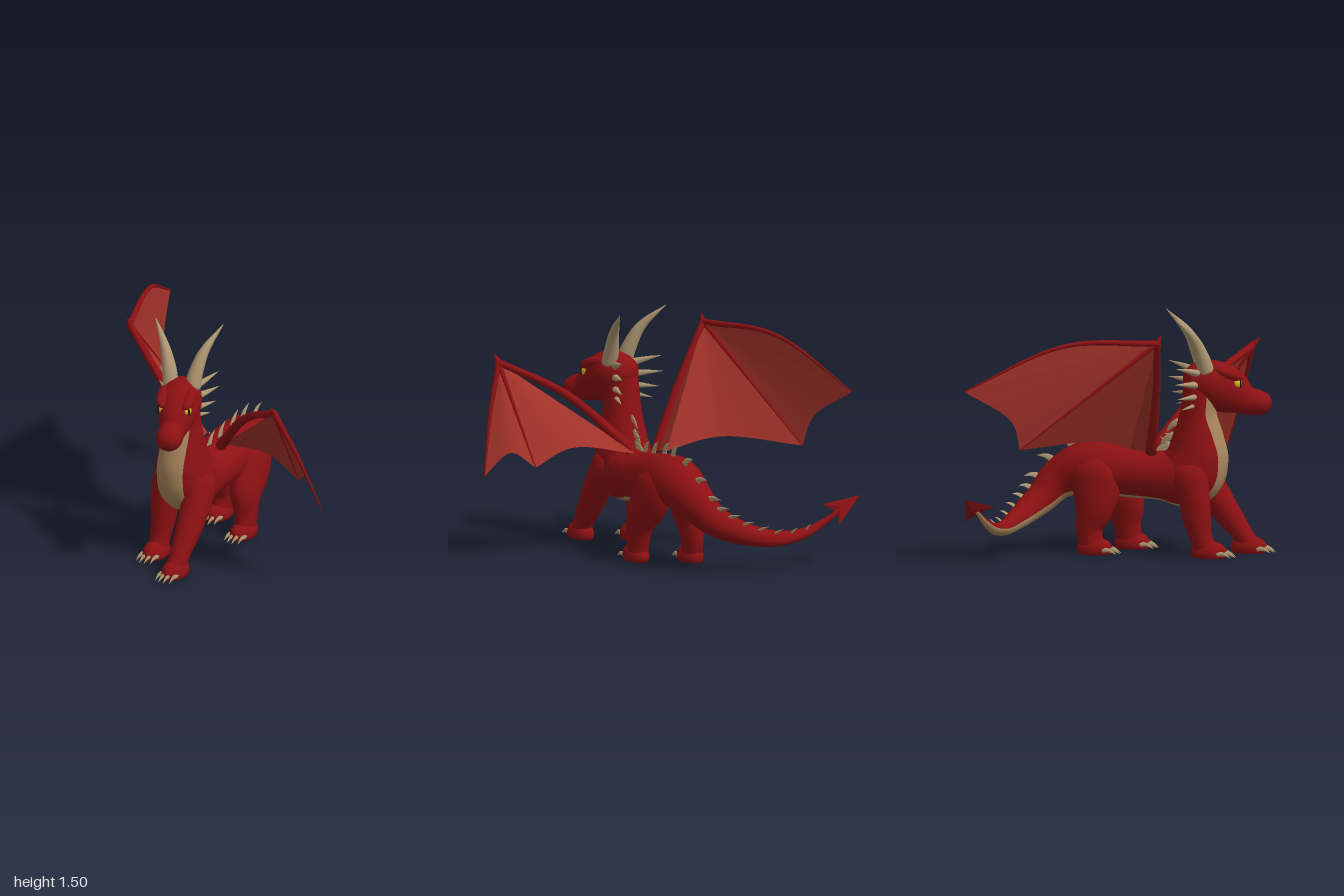
import * as THREE from 'three';
import { ConvexGeometry } from 'three/addons/geometries/ConvexGeometry.js';

const V = (a) => new THREE.Vector3(...a);

// Sweeps an ellipse along stations [x, y, z, halfWidth, halfHeight, bellyHalfAngle].
// Group 0 is the back, group 1 the strip facing away from "up".
function loft(stations, { up = [0, 0, -1], steps = 6, sides = 16, strip = 4 } = {}) {
  const path = new THREE.CatmullRomCurve3(stations.map((s) => V(s)));
  const size = new THREE.CatmullRomCurve3(stations.map((s) => V([s[3], s[4], s[5] ?? 0.7])), false, 'catmullrom');
  const rows = (stations.length - 1) * steps, pos = [], frames = [];
  let U = V(up);
  for (let i = -1; i <= rows + 1; i++) {
    const t = Math.min(Math.max(i / rows, 0), 1), cap = i < 0 || i > rows ? 0 : 1;
    const C = path.getPoint(t), T = path.getTangent(t), r = size.getPoint(t);
    U = U.clone().addScaledVector(T, -U.dot(T)).normalize();
    const S = T.clone().cross(U), b = r.z;
    if (cap) frames.push({ C, T, U, h: r.y });
    for (let j = 0; j < sides; j++) {
      const a = j < strip ? -b + (2 * b * j) / strip
        : b + ((2 * Math.PI - 2 * b) * (j - strip)) / (sides - strip);
      const p = C.clone().addScaledVector(S, cap * r.x * Math.sin(a)).addScaledVector(U, -cap * r.y * Math.cos(a));
      pos.push(p.x, p.y, p.z);
    }
  }
  const back = [], belly = [];
  for (let i = 0; i < rows + 2; i++) for (let j = 0; j < sides; j++) {
    const k = (j + 1) % sides, a = i * sides + j, b = i * sides + k, c = a + sides, d = b + sides;
    (j < strip ? belly : back).push(a, c, b, b, c, d);
  }
  const g = new THREE.BufferGeometry();
  g.setAttribute('position', new THREE.Float32BufferAttribute(pos, 3));
  g.setIndex([...back, ...belly]);
  g.addGroup(0, back.length, 0);
  g.addGroup(back.length, belly.length, 1);
  g.computeVertexNormals();
  g.userData.frames = frames;
  return g;
}

export function createModel() {
  const mat = (name, color) => {
    const m = new THREE.MeshStandardMaterial({ color });
    m.name = name;
    return m;
  };
  const red = mat('scaleRed', 0x8c1012), tan = mat('bellyTan', 0xa8855c), horn = mat('hornBone', 0xab9470);
  const skin = mat('wingMembraneRed', 0xa5332a), yellow = mat('eyeYellow', 0xd8b41e), dark = mat('pupilDark', 0x15100c);
  skin.side = THREE.DoubleSide;

  const model = new THREE.Group();
  model.name = 'dragon';
  const add = (parent, name, geometry, material) => {
    const m = new THREE.Mesh(geometry, material);
    m.name = name;
    parent.add(m);
    return m;
  };
  const tube = (parent, name, stations, material, opts) => {
    const g = loft(stations, opts);
    g.clearGroups();
    return add(parent, name, g, material);
  };
  const ball = (parent, name, p, s, material) => {
    const m = add(parent, name, new THREE.SphereGeometry(1, 20, 14), material);
    m.position.set(...p);
    m.scale.set(...s);
    return m;
  };

  // Neck, body and tail in one sweep, with the belly strip underneath
  const bodyShape = loft([
    [0.01, 1.12, 0.42, 0.1, 0.1, 0.95], [0, 1.0, 0.42, 0.11, 0.11, 0.95], [0, 0.88, 0.41, 0.117, 0.115, 0.92],
    [0, 0.74, 0.41, 0.14, 0.16, 0.75], [0, 0.6, 0.4, 0.165, 0.2, 0.62], [0, 0.5, 0.35, 0.18, 0.205, 0.55],
    [0, 0.49, 0.18, 0.175, 0.155, 0.55], [0, 0.5, 0, 0.165, 0.155, 0.6], [0, 0.52, -0.2, 0.17, 0.165, 0.6],
    [0, 0.515, -0.33, 0.16, 0.16, 0.65], [-0.03, 0.44, -0.475, 0.125, 0.125, 0.75],
    [-0.1, 0.34, -0.56, 0.1, 0.098, 0.85], [-0.2, 0.275, -0.625, 0.082, 0.082, 0.9],
    [-0.34, 0.225, -0.675, 0.065, 0.063, 0.95], [-0.5, 0.2, -0.71, 0.05, 0.045, 0.95],
    [-0.66, 0.225, -0.74, 0.035, 0.03, 0.95], [-0.78, 0.285, -0.765, 0.022, 0.02, 0.95],
    [-0.88, 0.36, -0.79, 0.012, 0.012, 0.95],
  ], { sides: 32, strip: 8 });
  add(model, 'body', bodyShape, [red, tan]);

  // Backswept spines along the ridge
  const { frames } = bodyShape.userData;
  for (let i = 15; i < frames.length - 8; i += 4) {
    const { C, T, U, h } = frames[i], s = 0.025 + h * 0.3, thin = s * 0.14;
    const at = (u, t, w, l) => [...C.clone().addScaledVector(U, h + u * s).addScaledVector(T, t * s).toArray(), w, l];
    tube(model, 'backSpine', [at(-0.2, -0.3, thin, s * 0.36), at(0.5, 0.05, thin * 0.8, s * 0.25), at(1.05, 0.75, 0.001, 0.001)],
      horn, { up: T.clone().negate().toArray(), steps: 3, sides: 8 });
  }

  // Arrow-shaped tail tip, made of two ridged halves
  const tip = [-1, 0.445, -0.83], notch = [-0.865, 0.345, -0.785];
  for (const barb of [[-0.83, 0.285, -0.87], [-0.815, 0.38, -0.685]]) {
    const mid = V(tip).lerp(V(notch), 0.75), n = V([0.5, -0.75, -0.35]).cross(V([0.1, 0.5, -0.85])).normalize().multiplyScalar(0.018);
    add(model, 'tailTip', new ConvexGeometry([V(tip), V(notch), V(barb), mid.clone().add(n), mid.clone().sub(n)]), red);
  }

  // Legs: stations, foot centre [x, z]
  const legs = {
    frontLeftLeg: [[[0.09, 0.6, 0.36, 0.05, 0.07], [0.11, 0.52, 0.39, 0.09, 0.12], [0.13, 0.4, 0.46, 0.09, 0.1],
      [0.135, 0.25, 0.56, 0.078, 0.085], [0.135, 0.13, 0.65, 0.064, 0.065], [0.135, 0.04, 0.7, 0.06, 0.07]], [0.135, 0.7]],
    frontRightLeg: [[[-0.09, 0.6, 0.36, 0.05, 0.07], [-0.11, 0.52, 0.38, 0.09, 0.12], [-0.125, 0.4, 0.41, 0.09, 0.1],
      [-0.13, 0.25, 0.43, 0.08, 0.09], [-0.132, 0.13, 0.46, 0.066, 0.07], [-0.132, 0.04, 0.49, 0.06, 0.07]], [-0.132, 0.51]],
    hindLeftLeg: [[[0.08, 0.62, -0.22, 0.04, 0.06], [0.1, 0.52, -0.21, 0.095, 0.15], [0.115, 0.4, -0.16, 0.1, 0.165],
      [0.135, 0.28, -0.09, 0.085, 0.13], [0.145, 0.16, -0.075, 0.068, 0.088], [0.15, 0.04, -0.06, 0.062, 0.08]], [0.15, -0.045]],
    hindRightLeg: [[[-0.08, 0.62, -0.23, 0.04, 0.06], [-0.1, 0.52, -0.22, 0.1, 0.15], [-0.115, 0.4, -0.21, 0.1, 0.15],
      [-0.13, 0.28, -0.22, 0.088, 0.12], [-0.135, 0.16, -0.25, 0.068, 0.085], [-0.14, 0.04, -0.23, 0.062, 0.08]], [-0.14, -0.215]],
  };
  for (const [name, [stations, [fx, fz]]] of Object.entries(legs)) {
    const leg = new THREE.Group();
    leg.name = name;
    model.add(leg);
    tube(leg, 'limb', stations, red, { sides: 20 });
    const foot = new THREE.SphereGeometry(1, 24, 14).scale(0.073, 0.075, 0.115).translate(fx, 0.035, fz);
    const p = foot.attributes.position;
    for (let i = 0; i < p.count; i++) p.setY(i, Math.max(p.getY(i), 0.005));
    foot.computeVertexNormals();
    add(leg, 'foot', foot, red);
    for (const k of [-1.5, -0.5, 0.5, 1.5]) {
      const x = fx + k * 0.034, z = fz + 0.1 - Math.abs(k) * 0.018;
      tube(leg, 'claw', [[x, 0.035, z - 0.02, 0.013, 0.016], [x, 0.036, z + 0.03, 0.01, 0.012], [x, 0.012, z + 0.075, 0.001, 0.001]],
        horn, { up: [0, 1, 0], steps: 3, sides: 8 });
    }
  }

  // Head, turned a little to its left
  const head = new THREE.Group();
  head.name = 'head';
  head.position.set(0.015, 0, 0.45);
  head.rotation.y = 0.35;
  model.add(head);
  tube(head, 'skull', [
    [0, 1.09, -0.135, 0.03, 0.03], [0, 1.09, -0.1, 0.09, 0.09], [0, 1.08, 0, 0.13, 0.14], [0, 1.04, 0.1, 0.125, 0.152],
    [0, 1.0, 0.18, 0.103, 0.13], [0, 0.957, 0.26, 0.08, 0.09], [0, 0.943, 0.33, 0.083, 0.08],
    [0, 0.938, 0.385, 0.065, 0.06], [0, 0.935, 0.41, 0.025, 0.025],
  ], red, { up: [0, 1, 0], sides: 28 });
  for (const s of [-1, 1]) {
    ball(head, 'eye', [s * 0.071, 1.078, 0.185], [0.036, 0.034, 0.036], yellow);
    ball(head, 'pupil', [s * 0.097, 1.078, 0.208], [0.006, 0.027, 0.006], dark);
    ball(head, 'brow', [s * 0.075, 1.135, 0.13], [0.05, 0.037, 0.1], red).rotation.set(0.35, 0, s * 0.3);
    tube(head, 'horn', [[s * 0.07, 1.15, 0.0, 0.05, 0.05], [s * 0.083, 1.24, -0.03, 0.046, 0.046],
      [s * 0.125, 1.37, -0.09, 0.03, 0.03], [s * 0.215, 1.505, -0.215, 0.002, 0.002]], horn);
    // Cheek spikes down the back of the jaw
    for (const [y0, y1, out, r] of [[1.14, 1.19, 0.185, 0.026], [1.07, 1.09, 0.19, 0.027], [1.0, 0.995, 0.172, 0.023], [0.95, 0.925, 0.145, 0.018]]) {
      tube(head, 'cheekSpike', [[s * 0.075, y0, -0.05, r, r], [s * (0.075 + out) / 2, (y0 + y1) / 2, -0.06 - out / 3, r * 0.6, r * 0.6],
        [s * out, y1, -out - 0.02, 0.001, 0.001]], horn, { steps: 3, sides: 10 });
    }
  }

  // Wings: bones plus a membrane fanned from the wrist to a scalloped edge
  const wings = {
    leftWing: { root: [0.09, 0.66, 0.12], elbow: [0.42, 1.0, 0.35], wrist: [0.78, 1.2, 0.57], hook: [0.785, 1.25, 0.62],
      lead: [0.89, 0.9, 0.475], tip: [0.99, 0.54, 0.365], inner: [0.72, 0.6, 0.2], outerDip: [0.84, 0.685, 0.3],
      innerDip: [0.48, 0.705, 0.17], rear: [0.1, 0.65, 0.07] },
    rightWing: { root: [-0.09, 0.64, 0.13], elbow: [-0.29, 1.03, 0.21], wrist: [-0.49, 1.385, 0.265], hook: [-0.49, 1.435, 0.29],
      lead: [-0.71, 1.38, -0.28], tip: [-0.93, 1.11, -0.855], inner: [-0.75, 0.73, -0.545], outerDip: [-0.8, 0.91, -0.585],
      innerDip: [-0.39, 0.745, -0.13], rear: [-0.09, 0.66, 0] },
  };
  for (const [name, w] of Object.entries(wings)) {
    const wing = new THREE.Group();
    wing.name = name;
    model.add(wing);
    const bone = (part, pts, r) => tube(wing, part, pts.map((p, i) => [...p, r[i], r[i]]), red, { sides: 10 });
    bone('armBone', [w.root, w.elbow, w.wrist], [0.035, 0.026, 0.022]);
    bone('leadingFinger', [w.wrist, w.lead, w.tip], [0.02, 0.013, 0.004]);
    bone('innerFinger', [w.wrist, V(w.wrist).lerp(V(w.inner), 0.5).toArray(), w.inner], [0.016, 0.01, 0.004]);
    bone('wristHook', [V(w.wrist).lerp(V(w.hook), -0.5).toArray(), w.wrist, w.hook], [0.015, 0.02, 0.002]);
    const arc = (...p) => new THREE.CatmullRomCurve3(p.map(V)).getPoints(16);
    const edge = [V(w.root), ...arc(w.rear, w.innerDip, w.inner), ...arc(w.inner, w.outerDip, w.tip),
      ...arc(w.wrist, w.lead, w.tip).reverse().slice(1, -1)];
    const pos = [];
    for (let i = 0; i + 1 < edge.length; i++) pos.push(...w.wrist, ...edge[i].toArray(), ...edge[i + 1].toArray());
    const g = new THREE.BufferGeometry();
    g.setAttribute('position', new THREE.Float32BufferAttribute(pos, 3));
    g.computeVertexNormals();
    add(wing, 'membrane', g, skin);
  }
  return model;
}
